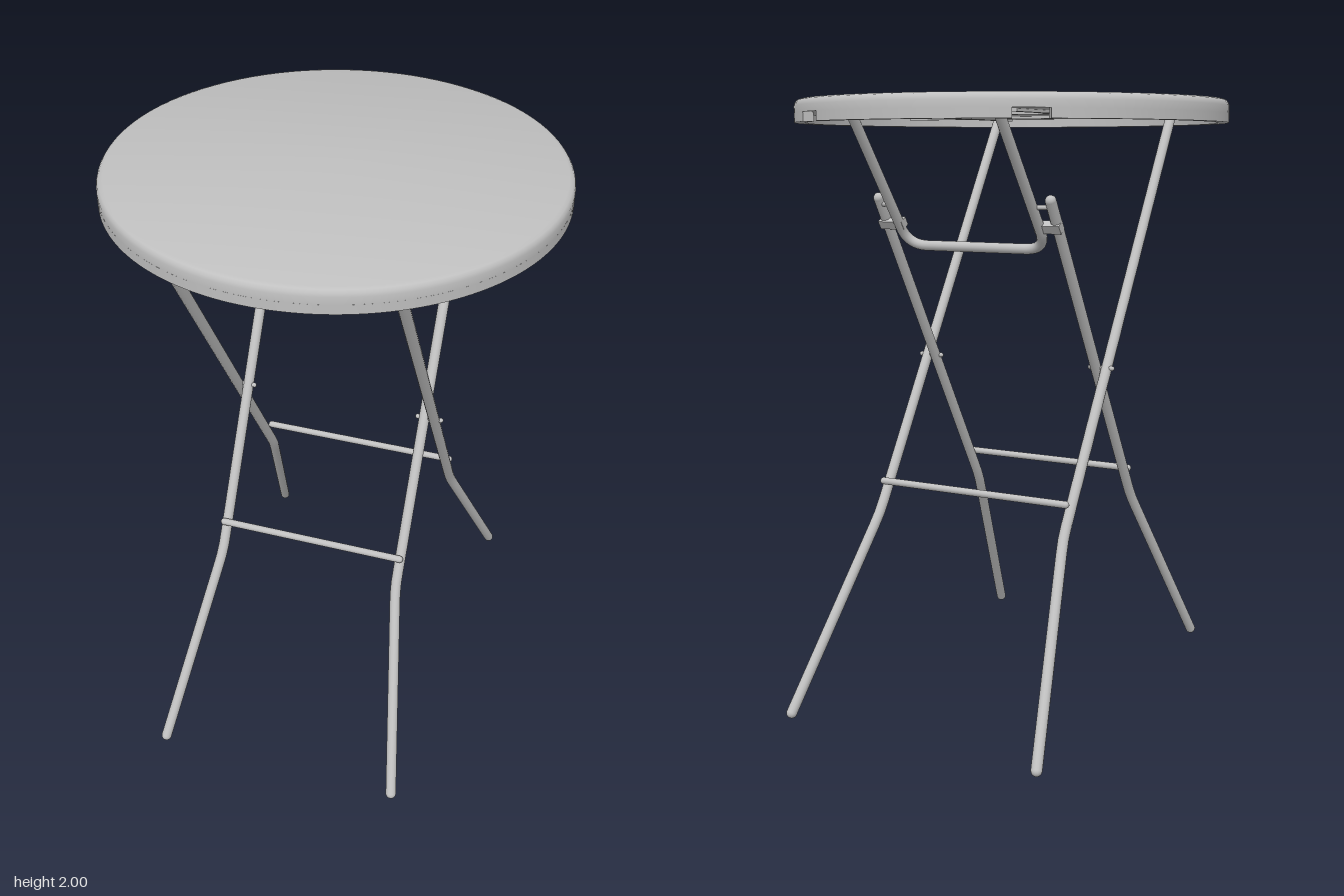
import * as THREE from 'three';
import { toCreasedNormals } from 'three/addons/utils/BufferGeometryUtils.js';

const R = 0.715; // table top radius
const V = (x, y, z) => new THREE.Vector3(x, y, z);

export function createModel() {
  const model = new THREE.Group();
  model.name = 'foldingTable';
  const grey = new THREE.MeshStandardMaterial({ color: 0xc0c0c0 });
  grey.name = 'light grey';

  function add(name, geometry, parent = model) {
    const mesh = new THREE.Mesh(geometry, grey);
    mesh.name = name;
    parent.add(mesh);
    return mesh;
  }

  // Round tube through points, with filleted corners and domed ends
  function tube(name, pts, radius, fillet = 0.04, segments = 48) {
    const group = new THREE.Group();
    group.name = name;
    const path = new THREE.CurvePath();
    let from = pts[0];
    for (let i = 1; i < pts.length - 1; i++) {
      const p = pts[i];
      const a = p.clone().add(pts[i - 1].clone().sub(p).setLength(fillet));
      const b = p.clone().add(pts[i + 1].clone().sub(p).setLength(fillet));
      path.add(new THREE.LineCurve3(from, a));
      path.add(new THREE.QuadraticBezierCurve3(a, p, b));
      from = b;
    }
    path.add(new THREE.LineCurve3(from, pts[pts.length - 1]));
    add(name + 'Tube', new THREE.TubeGeometry(path, segments, radius, 14), group);
    for (const end of [pts[0], pts[pts.length - 1]]) {
      add(name + 'End', new THREE.SphereGeometry(radius, 14, 10), group).position.copy(end);
    }
    model.add(group);
  }

  // Table top slab with a softly rounded upper edge
  const profile = [[0, 1.955], [R, 1.955], [R, 1.978], [0.712, 1.988], [0.706, 1.996],
    [0.695, 2], [0, 2]].map(([r, y]) => new THREE.Vector2(r, y));
  add('tableTop', toCreasedNormals(new THREE.LatheGeometry(profile, 96), 0.7));

  // Hanging rim, interrupted by two notches at the back
  function rim(name, startDeg, endDeg) {
    const a = THREE.MathUtils.degToRad(startDeg), b = THREE.MathUtils.degToRad(endDeg);
    const shape = new THREE.Shape();
    shape.absarc(0, 0, R, a, b, false);
    shape.absarc(0, 0, R - 0.035, b, a, true);
    const g = new THREE.ExtrudeGeometry(shape, { depth: 0.03, bevelEnabled: false, curveSegments: 80 });
    g.rotateX(Math.PI / 2).translate(0, 1.955, 0);
    add(name, toCreasedNormals(g, 0.6));
  }
  rim('backRim', -118.2, -61.8);
  rim('mainRim', -52.9, 232.9);

  // Shallow ribs on the underside
  for (const s of [-1, 1]) {
    add('crossRib', new THREE.BoxGeometry(1.1, 0.01, 0.02)).position.set(0, 1.951, s * 0.25);
    add('longRib', new THREE.BoxGeometry(0.02, 0.01, 1.1)).position.set(s * 0.3, 1.951, 0);
  }

  // Point on each leg line at a given height
  const innerLeg = (x, y) => V(x, y, 0.7 - y * 0.613);
  const outerLeg = (x, y) => V(x, y, -0.7 + y * 0.639);
  const loopAt = (x, y) => V(x, y, -0.245 - (y - 1.53) * 0.756);

  for (const s of [-1, 1]) {
    // Crossed legs, splayed outward below the bend
    tube('frontFootLeg', [innerLeg(s * 0.417, 0.016), innerLeg(s * 0.312, 0.62), innerLeg(s * 0.312, 1.685)], 0.018);
    tube('backFootLeg', [outerLeg(s * 0.452, 0.016), outerLeg(s * 0.348, 0.62), outerLeg(s * 0.348, 1.955)], 0.018);

    // Pivot pin where the legs cross
    tube('pivotPin', [V(s * 0.29, 1.125, 0.014), V(s * 0.37, 1.125, 0.014)], 0.008, 0, 1);

    // Bracket and pin joining the inner leg to the support loop
    const bracket = add('hingeBracket', new THREE.BoxGeometry(0.09, 0.03, 0.03));
    bracket.position.set(s * 0.285, 1.603, -0.292);
    bracket.rotation.x = -0.6;
    tube('hingePin', [innerLeg(s * 0.312, 1.665), loopAt(s * 0.256, 1.665)], 0.008, 0, 1);
  }

  // U-shaped support loop under the top
  tube('supportLoop', [loopAt(-0.256, 1.95), loopAt(-0.256, 1.53), loopAt(0.256, 1.53), loopAt(0.256, 1.95)],
    0.017, 0.075, 140);

  // Cross bars bracing each pair of legs
  tube('frontCrossBar', [V(-0.315, 0.725, 0.288), V(0.315, 0.725, 0.288)], 0.012, 0, 1);
  tube('backCrossBar', [V(-0.345, 0.725, -0.282), V(0.345, 0.725, -0.282)], 0.012, 0, 1);

  return model;
}
